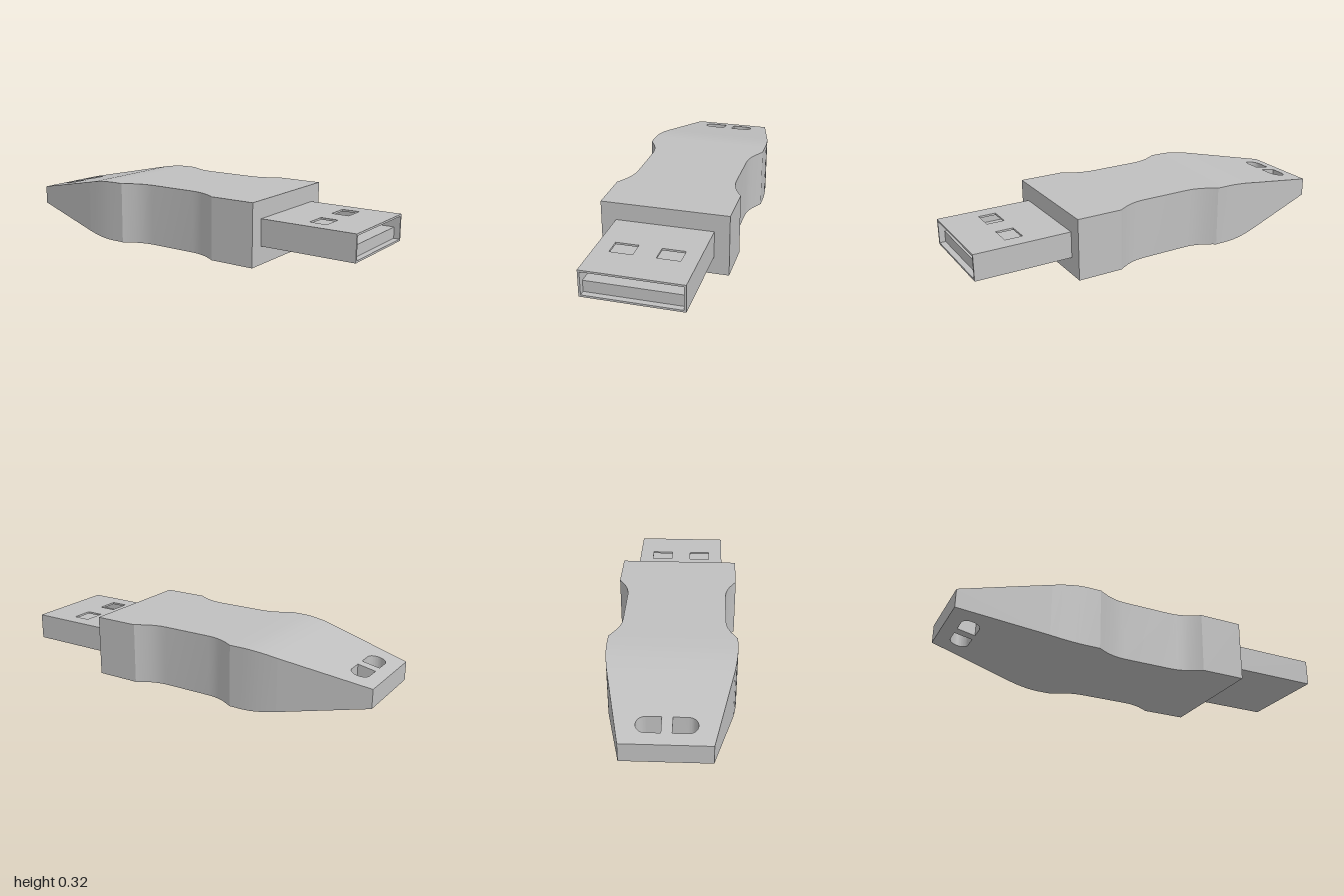
import * as THREE from 'three';
import { toCreasedNormals } from 'three/addons/utils/BufferGeometryUtils.js';

const MID_Y = 0.1585;
const FRONT_Z = 0.505;

// Shape drawn in x/z, extruded downwards from y = 0
function extrudeDown(shape, depth) {
  return new THREE.ExtrudeGeometry(shape, { depth, bevelEnabled: false, curveSegments: 12 }).rotateX(Math.PI / 2);
}

function polygon(points) {
  return new THREE.Shape(points.map(([x, y]) => new THREE.Vector2(x, y)));
}

// Rectangular cross-sections [z, half width, half height] joined from front to back
function loft(stations) {
  const loops = stations.map(([z, w, h]) =>
    [[w, h], [-w, h], [-w, -h], [w, -h]].map(([x, y]) => [x, y + MID_Y, z]));
  const f = loops[0];
  const out = [f[0], f[1], f[2], f[0], f[2], f[3]];
  for (let s = 0; s < loops.length - 1; s++) {
    for (let i = 0; i < 4; i++) {
      const j = (i + 1) % 4;
      const a = loops[s][i], b = loops[s][j], c = loops[s + 1][j], d = loops[s + 1][i];
      out.push(a, d, c, a, c, b);
    }
  }
  const geo = new THREE.BufferGeometry();
  geo.setAttribute('position', new THREE.Float32BufferAttribute(out.flat(), 3));
  return toCreasedNormals(geo, 0.5);
}

export function createModel() {
  const group = new THREE.Group();
  const grey = new THREE.MeshStandardMaterial({ color: 0xc0c0c0 });
  grey.name = 'grey';

  function add(name, geometry) {
    const mesh = new THREE.Mesh(geometry, grey);
    mesh.name = name;
    group.add(mesh);
    return mesh;
  }

  // Body with a pinched grip; the grip is symmetric about z = -0.02
  const H = 0.1585;
  const grip = [[0.27, 0.32], [0.255, 0.31], [0.21, 0.285], [0.175, 0.272], [0.145, 0.265], [0.11, 0.262]];
  add('body', loft([
    [FRONT_Z, 0.32, H],
    ...grip.map(([z, w]) => [z, w, H]),
    ...grip.slice().reverse().map(([z, w]) => [-0.04 - z, w, H]),
    [-0.38, 0.32, H],
    [-0.42, 0.319, 0.157],
    [-0.46, 0.316, 0.153],
    [-0.51, 0.31, 0.146],
    [-0.56, 0.302, 0.136],
  ]));

  // Tapered tail with two D-shaped lanyard holes
  const tail = polygon([[-0.302, -0.56], [-0.21, -1], [0.21, -1], [0.302, -0.56]]);
  for (const side of [-1, 1]) {
    const hole = new THREE.Path();
    hole.moveTo(side * 0.025, -0.935);
    hole.lineTo(side * 0.095, -0.935);
    hole.absarc(side * 0.095, -0.89, 0.045, -Math.PI / 2, Math.PI / 2 * (side > 0 ? 1 : -3), side < 0);
    hole.lineTo(side * 0.025, -0.845);
    hole.closePath();
    tail.holes.push(hole);
  }
  const tailGeo = extrudeDown(tail, 1);
  const pos = tailGeo.attributes.position;
  for (let i = 0; i < pos.count; i++) {
    const half = 0.136 + (pos.getZ(i) + 0.56) * 0.2;
    pos.setY(i, MID_Y + (pos.getY(i) + 0.5) * 2 * half);
  }
  add('tail', toCreasedNormals(tailGeo, 0.5));

  // Connector sleeve: floor and side walls
  const W = 0.245, T = 0.01, LOW = 0.092, HIGH = 0.227;
  const channel = polygon([
    [-W, LOW], [W, LOW], [W, HIGH - T], [W - T, HIGH - T],
    [W - T, LOW + T], [-W + T, LOW + T], [-W + T, HIGH - T], [-W, HIGH - T],
  ]);
  add('connectorSleeve', new THREE.ExtrudeGeometry(channel, { depth: 1 - FRONT_Z, bevelEnabled: false }))
    .position.z = FRONT_Z;

  // Sleeve roof with two rectangular windows
  const roof = polygon([[-W, FRONT_Z], [W, FRONT_Z], [W, 1], [-W, 1]]);
  for (const side of [-1, 1]) {
    const [a, b] = [side * 0.055, side * 0.168];
    roof.holes.push(polygon([[a, 0.722], [b, 0.722], [b, 0.812], [a, 0.812]]));
  }
  add('connectorRoof', extrudeDown(roof, T)).position.y = HIGH;

  // Contact tongue filling the lower half of the sleeve
  const tongueLength = 0.97 - FRONT_Z;
  add('contactTongue', new THREE.BoxGeometry(2 * (W - T), 0.057, tongueLength))
    .position.set(0, LOW + T + 0.0285, FRONT_Z + tongueLength / 2);

  return group;
}
